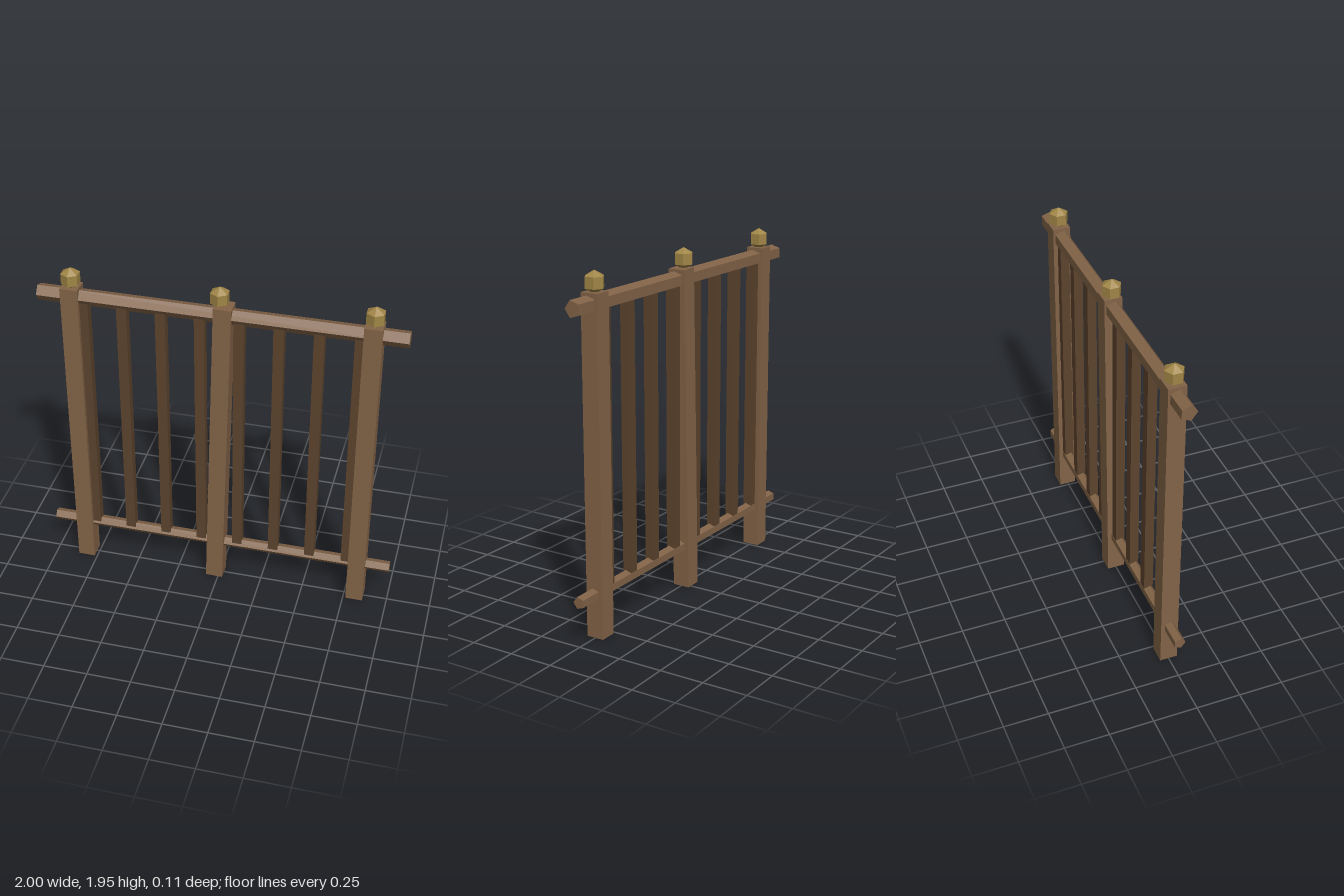
import * as THREE from 'three';

export function createModel() {
  const fence = new THREE.Group();
  fence.name = 'fence';

  const material = (name, color) => {
    const m = new THREE.MeshStandardMaterial({ color, flatShading: true });
    m.name = name;
    return m;
  };
  const wood = material('brown wood', 0x826347);
  const darkWood = material('dark wood', 0x5c432d);
  const brass = material('aged brass', 0xa08546);

  const add = (name, geometry, mat, x, y) => {
    const mesh = new THREE.Mesh(geometry, mat);
    mesh.name = name;
    mesh.position.set(x, y, 0);
    fence.add(mesh);
    return mesh;
  };

  // Three square posts, the middle one leaning, each with a faceted knob
  const postHeight = 1.838;
  const postGeometry = new THREE.BoxGeometry(0.098, postHeight, 0.1);
  const knobGeometry = new THREE.SphereGeometry(0.061, 6, 3).rotateY(Math.PI / 2);
  for (const [name, x, lean] of [['right', -0.815, 0], ['middle', 0, -0.0256], ['left', 0.815, 0]]) {
    add(name + 'Post', postGeometry, wood, x, postHeight / 2).rotation.z = lean;
    add(name + 'Knob', knobGeometry, brass, x, 1.886);
  }

  // Five-sided rails with an edge facing forward
  for (const [name, radius, y] of [['topRail', 0.047, 1.78], ['bottomRail', 0.034, 0.245]]) {
    add(name, new THREE.CylinderGeometry(radius, radius, 2, 5).rotateZ(Math.PI / 2), wood, 0, y);
  }

  // Balusters running between the rails
  const balusterGeometry = new THREE.BoxGeometry(0.056, 1.515, 0.052);
  for (let i = 0; i < 8; i++) {
    add('baluster' + (i + 1), balusterGeometry, darkWood, (i - 3.5) * 0.2137, 1.0125);
  }

  return fence;
}
